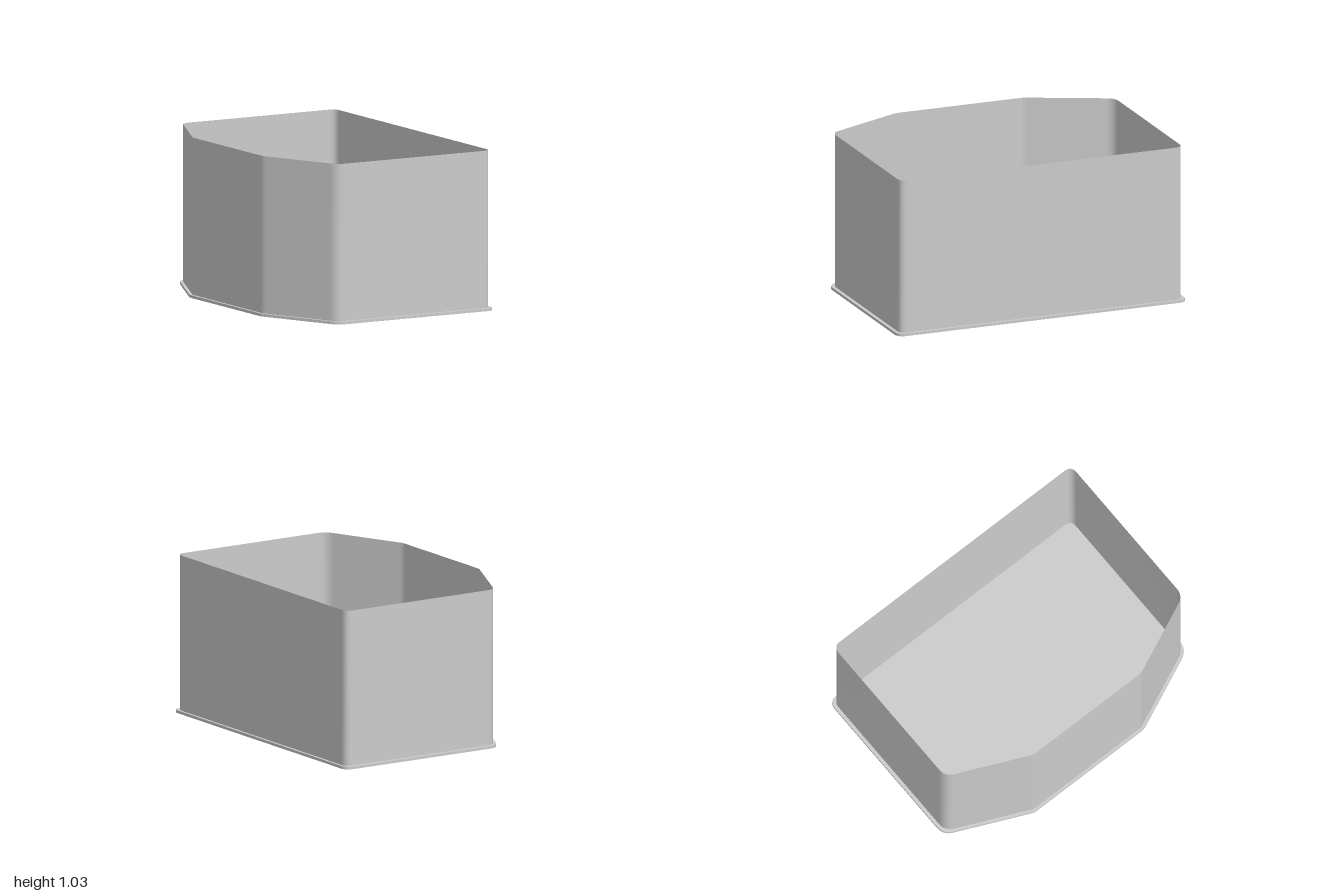
import * as THREE from 'three';
import { toCreasedNormals } from 'three/addons/utils/BufferGeometryUtils.js';

// Closed outline (counter-clockwise) with each corner [x, y, cut] rounded;
// cut is the distance from the corner to where the rounding starts.
function roundedOutline(corners) {
  const points = [];
  const n = corners.length;
  corners.forEach(([x, y, cut], i) => {
    const corner = new THREE.Vector2(x, y);
    const towards = (j) => {
      const [qx, qy] = corners[(j + n) % n];
      return new THREE.Vector2(qx, qy).sub(corner).setLength(cut).add(corner);
    };
    const curve = new THREE.QuadraticBezierCurve(towards(i - 1), corner, towards(i + 1));
    points.push(...curve.getPoints(10));
  });
  return points;
}

// Six-sided plan: square corners on +x, chamfered corners on -x
function plan(halfX, halfZ, chamferX, chamferZ, cut) {
  return roundedOutline([
    [halfX, -halfZ, cut], [halfX, halfZ, cut],
    [chamferX, halfZ, cut * 1.1], [-halfX, chamferZ, 0.025],
    [-halfX, -chamferZ, 0.025], [chamferX, -halfZ, cut * 1.1],
  ]);
}

// Thin open wall standing on an outline
function wallGeometry(outline, y0, y1) {
  const n = outline.length;
  const positions = [];
  const index = [];
  outline.forEach((p, i) => {
    positions.push(p.x, y0, -p.y, p.x, y1, -p.y);
    const a = 2 * i;
    const b = 2 * ((i + 1) % n);
    index.push(a, b, b + 1, a, b + 1, a + 1);
  });
  const geometry = new THREE.BufferGeometry();
  geometry.setAttribute('position', new THREE.Float32BufferAttribute(positions, 3));
  geometry.setIndex(index);
  geometry.computeVertexNormals();
  return geometry;
}

export function createModel() {
  const group = new THREE.Group();
  const baseHeight = 0.018;

  // Base plate, projecting as a narrow lip around the wall
  const shape = new THREE.Shape(plan(0.705, 1, -0.457, 0.45, 0.06));
  let baseGeometry = new THREE.ExtrudeGeometry(shape, { depth: baseHeight, bevelEnabled: false });
  baseGeometry.rotateX(-Math.PI / 2);
  baseGeometry = toCreasedNormals(baseGeometry, 0.6);
  const base = new THREE.Mesh(baseGeometry, new THREE.MeshStandardMaterial({ color: 0xcccccc }));
  base.name = 'basePlate';
  group.add(base);

  // Open-topped wall
  const wall = new THREE.Mesh(
    wallGeometry(plan(0.688, 0.977, -0.447, 0.44, 0.055), baseHeight, 1.035),
    new THREE.MeshStandardMaterial({ color: 0xcccccc, side: THREE.DoubleSide })
  );
  wall.name = 'wall';
  group.add(wall);

  return group;
}
